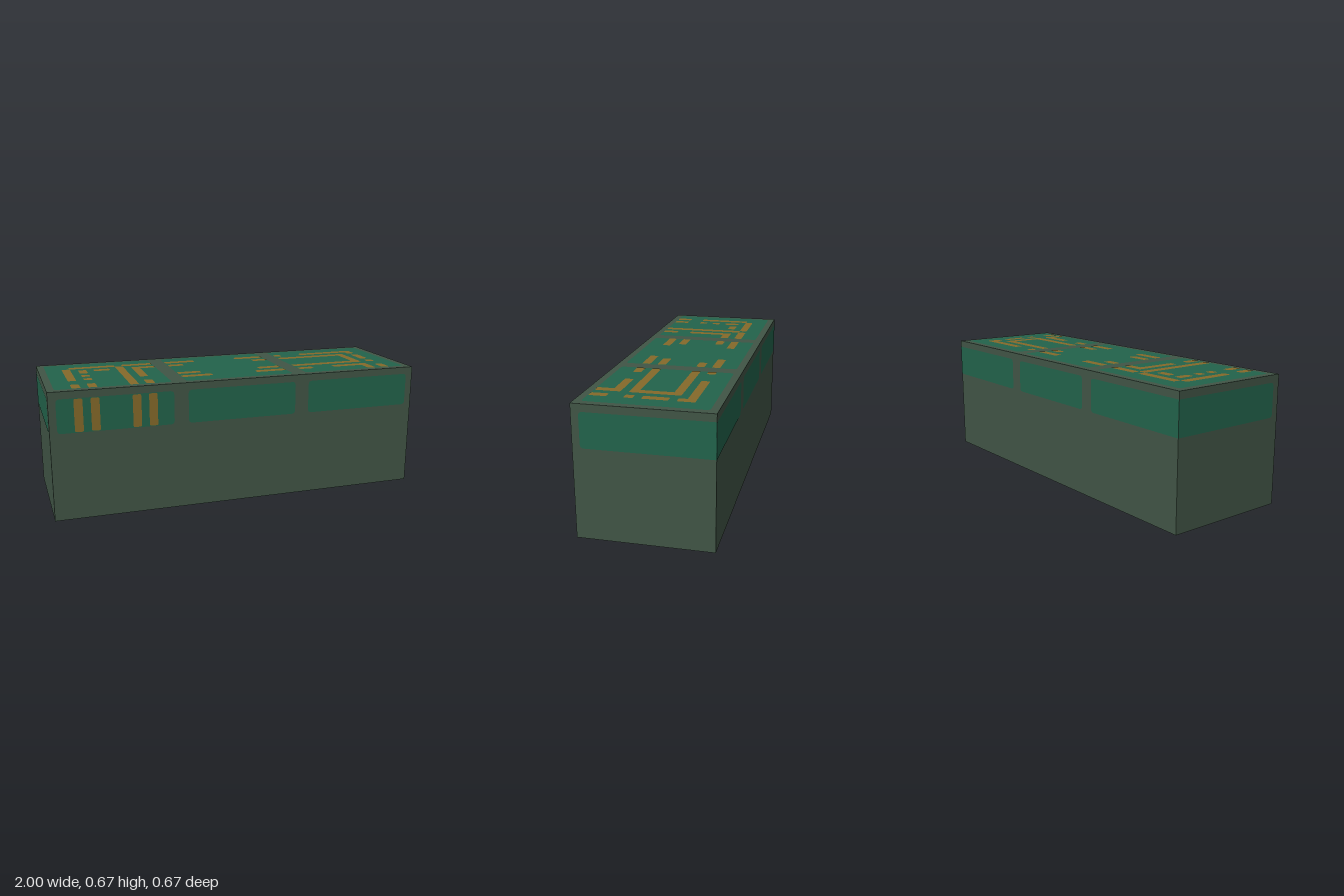
import * as THREE from 'three';

const CELL = 2 / 48; // all markings sit on a grid of square cells
const ROWS = 16;     // the box is 48 x 16 x 16 cells

const material = (name, color) => {
  const m = new THREE.MeshStandardMaterial({ color });
  m.name = name;
  return m;
};

// Rounded rectangle from cell columns a..b and rows c..d (rows count down from the top).
// Ends lying on the border of the face stay square and flush.
function plate(columns, [a, b, c, d], radius, grow) {
  const squareL = a === 0, squareR = b === columns;
  const x0 = (a - columns / 2) * CELL - (squareL ? 0 : grow);
  const x1 = (b - columns / 2) * CELL + (squareR ? 0 : grow);
  const y0 = (ROWS / 2 - d) * CELL - grow;
  const y1 = (ROWS / 2 - c) * CELL + grow;
  const l = squareL ? 0 : radius, r = squareR ? 0 : radius;
  const s = new THREE.Shape();
  s.moveTo(x0 + l, y0);
  s.lineTo(x1 - r, y0);
  if (r) s.quadraticCurveTo(x1, y0, x1, y0 + r);
  s.lineTo(x1, y1 - r);
  if (r) s.quadraticCurveTo(x1, y1, x1 - r, y1);
  s.lineTo(x0 + l, y1);
  if (l) s.quadraticCurveTo(x0, y1, x0, y1 - l);
  s.lineTo(x0, y0 + l);
  if (l) s.quadraticCurveTo(x0, y0, x0 + l, y0);
  return new THREE.ShapeGeometry(s, 4);
}

export function createModel() {
  const model = new THREE.Group();
  const casing = material('dark casing', 0x415546);
  const green = material('circuit green', 0x22634b);
  const gold = material('trace gold', 0x866a2a);
  const half = ROWS * CELL / 2;

  // Solid casing
  const body = new THREE.Mesh(new THREE.BoxGeometry(2, 2 * half, 2 * half), casing);
  body.name = 'casing';
  body.position.y = half;
  model.add(body);

  // One decorated face: green panels with gold traces above them
  function addFace(name, columns, offset, rx, ry, panels, traces = []) {
    const face = new THREE.Group();
    face.name = name;
    face.position.y = half;
    face.rotation.set(rx, ry, 0);
    const add = (label, cells, radius, grow, lift, mat) => {
      const mesh = new THREE.Mesh(plate(columns, cells, radius, grow), mat);
      mesh.name = label;
      mesh.position.z = offset + lift;
      face.add(mesh);
    };
    panels.forEach(p => add('circuitPanel', p, 0.02, 0.004, 0.001, green));
    traces.forEach(t => add('trace', t, 0.008, 0.001, 0.002, gold));
    model.add(face);
  }

  const spans = [[1, 15], [17, 31], [33, 47]];

  // Vertical traces in the left-hand panel, continued down the front
  const frontTraces = [3, 5, 10, 12].map(i => [i, i + 1, 11, 15]);
  addFace('frontFace', 48, half, 0, 0, spans.map(s => [...s, 11, 15]), frontTraces);
  addFace('backFace', 48, half, 0, Math.PI,
    [[0, 15, 11, 15], [17, 31, 11, 15], [33, 48, 11, 15]].map(([a, b]) => [a, b, 1, 5]));
  addFace('leftEnd', 16, 1, 0, Math.PI / 2, [[1, 16, 1, 5]]);
  addFace('rightEnd', 16, 1, 0, -Math.PI / 2, [[0, 15, 1, 5]]);

  // Top traces: horizontal runs by row, vertical runs by column
  const rows = {
    3: [[4, 10], [11, 15], [17, 21], [27, 31], [33, 34], [37, 45]],
    5: [[7, 9], [12, 15], [17, 19], [29, 31], [33, 43]],
    10: [[17, 20], [28, 31], [33, 43]],
    12: [[17, 21], [27, 31], [33, 35], [38, 43]],
  };
  const columns = {
    3: [[4, 11], [13, 15]],
    5: [[5, 7], [8, 9], [10, 11], [13, 15]],
    10: [[4, 15]],
    12: [[5, 11], [13, 15]],
    42: [[5, 11], [12, 15]],
    44: [[3, 5], [6, 9], [10, 11], [13, 15]],
  };
  const topTraces = [];
  for (const [j, runs] of Object.entries(rows))
    runs.forEach(([a, b]) => topTraces.push([a, b, +j, +j + 1]));
  for (const [i, runs] of Object.entries(columns))
    runs.forEach(([c, d]) => topTraces.push([+i, +i + 1, c, d]));
  addFace('topFace', 48, half, -Math.PI / 2, 0, spans.map(s => [...s, 1, 15]), topTraces);

  // Front markings belong to the upper band of the face
  const front = model.getObjectByName('frontFace');
  front.position.y += 10 * CELL;

  return model;
}
